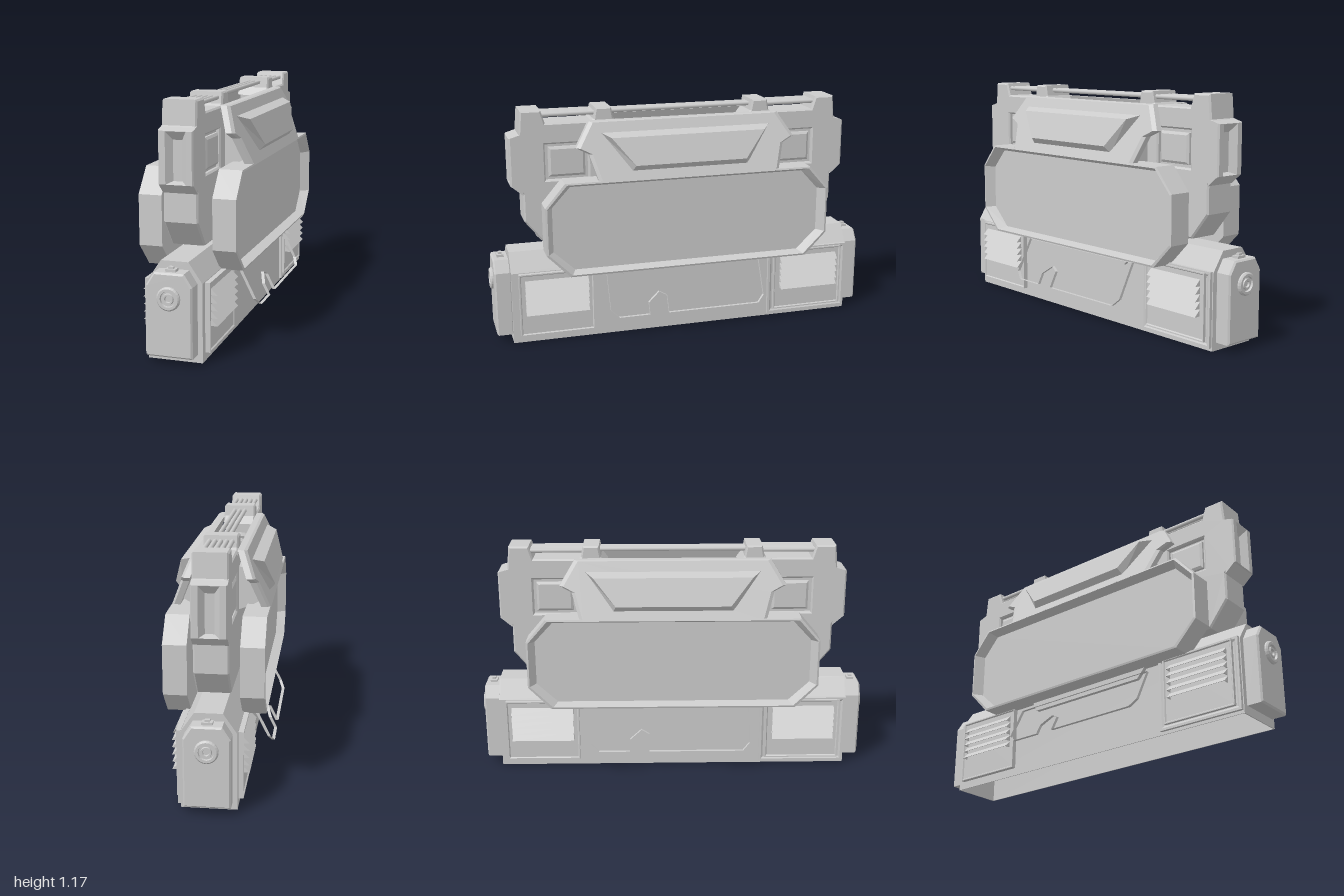
import * as THREE from 'three';

const flat = new THREE.MeshStandardMaterial({ color: 0xcccccc, flatShading: true });
const open = new THREE.MeshStandardMaterial({ color: 0xcccccc, flatShading: true, side: THREE.DoubleSide });
const smooth = new THREE.MeshStandardMaterial({ color: 0xcccccc });

function add(parent, name, geometry, material = flat) {
  const mesh = new THREE.Mesh(geometry, material);
  mesh.name = name;
  parent.add(mesh);
  return mesh;
}

const vectors = (pts) => pts.map(([a, b]) => new THREE.Vector2(a, b));

// Prism of a front profile [x, y], running from z0 to z1
function zPrism(pts, z0, z1, bevel = 0, holes = []) {
  const shape = new THREE.Shape(vectors(pts));
  shape.holes = holes.map((h) => new THREE.Path(vectors(h)));
  return new THREE.ExtrudeGeometry(shape, {
    depth: z1 - z0 - 2 * bevel, bevelEnabled: bevel > 0, bevelSize: bevel,
    bevelThickness: bevel, bevelOffset: -bevel, bevelSegments: 1,
  }).translate(0, 0, z0 + bevel);
}

// Prism of a side profile [z, y], running from x0 to x1
function xPrism(pts, x0, x1, bevel = 0, holes = []) {
  const flip = (list) => list.map(([z, y]) => [-z, y]);
  return zPrism(flip(pts), x0, x1, bevel, holes.map(flip)).rotateY(Math.PI / 2);
}

function box(x0, x1, y0, y1, z0, z1) {
  return new THREE.BoxGeometry(x1 - x0, y1 - y0, z1 - z0)
    .translate((x0 + x1) / 2, (y0 + y1) / 2, (z0 + z1) / 2);
}

// Skin through rings of [x, y, z], with or without end caps
function loft(rings, capped = true) {
  const n = rings[0].length, index = [], last = (rings.length - 1) * n;
  for (let r = 0; r < rings.length - 1; r++) {
    for (let i = 0; i < n; i++) {
      const a = r * n + i, b = r * n + (i + 1) % n;
      index.push(a, b, b + n, a, b + n, a + n);
    }
  }
  for (let i = 1; capped && i < n - 1; i++) {
    index.push(0, i + 1, i, last, last + i, last + i + 1);
  }
  const g = new THREE.BufferGeometry();
  g.setAttribute('position', new THREE.Float32BufferAttribute(rings.flat(2), 3));
  g.setIndex(index);
  const out = g.toNonIndexed();
  out.computeVertexNormals();
  return out;
}

// Eight-sided outline [z, y], with cut corners, counter-clockwise from +x
function octagon(hz, y0, y1, cz, cTop, cBottom) {
  return [[hz - cz, y1], [hz, y1 - cTop], [hz, y0 + cBottom], [hz - cz * 1.15, y0],
    [-hz + cz * 1.15, y0], [-hz, y0 + cBottom], [-hz, y1 - cTop], [-hz + cz, y1]];
}

const atX = (pts, x) => pts.map(([z, y]) => [x, y, z]);
const rect = (z0, z1, y0, y1) => [[z1, y1], [z1, y0], [z0, y0], [z0, y1]];

// Raised rectangular frame on a +x wall with a sunken middle
function framedPanel(z0, z1, y0, y1, x, rise, floor, rim) {
  const outer = rect(z0, z1, y0, y1), inner = rect(z0 + rim, z1 - rim, y0 + rim, y1 - rim);
  const sunk = rect(z0 + 1.8 * rim, z1 - 1.8 * rim, y0 + 1.8 * rim, y1 - 1.8 * rim);
  return loft([atX(outer, x), atX(outer, x + rise), atX(inner, x + rise), atX(sunk, x + floor)]);
}

function buildBase(root) {
  // Thin shell, open underneath
  const roof = [[0.13, 0], [0.13, 0.37], [0.065, 0.465], [-0.065, 0.465], [-0.13, 0.37], [-0.13, 0]];
  const inside = [[-0.126, 0], [-0.126, 0.369], [-0.063, 0.461], [0.063, 0.461], [0.126, 0.369], [0.126, 0]];
  add(root, 'baseShell', zPrism([...roof, ...inside], -0.9, 0.9));
  for (const z of [-0.905, 0.9]) add(root, 'baseEndWall', zPrism(roof, z, z + 0.005));
  add(root, 'neck', box(-0.04, 0.04, 0.462, 0.53, -0.6, 0.6));
}

function buildBody(root) {
  const half = [[0.38, 0.82], [0.38, 1.11], [0.7, 1.11], [0.72, 1.175], [0.82, 1.175],
    [0.83, 1.06], [0.845, 1.05], [0.845, 0.79], [0.82, 0.76], [0.82, 0.62], [0.72, 0.495]];
  const mirrored = half.map(([z, y]) => [-z, y]).reverse();
  const windows = [rect(0.49, 0.705, 0.825, 1.005), rect(-0.705, -0.49, 0.825, 1.005)];
  add(root, 'upperBody', xPrism([...half, ...mirrored], -0.082, 0.082, 0.008, windows));
  for (const z of [-0.5975, 0.5975]) {
    add(root, 'windowBacking', box(-0.06, 0.06, 0.815, 1.015, z - 0.118, z + 0.118));
  }

  // Drum with broad spiral ribs in the open middle
  add(root, 'drum', new THREE.CylinderGeometry(0.085, 0.085, 0.78, 24)
    .rotateX(Math.PI / 2).translate(0, 0.94, 0), smooth);
  for (let k = 0; k < 2; k++) {
    const pts = [];
    for (let i = 0; i <= 24; i++) {
      const a = i / 24 * Math.PI * 4 + k * Math.PI;
      pts.push(new THREE.Vector3(0.08 * Math.cos(a), 0.94 + 0.08 * Math.sin(a), -0.34 + i / 24 * 0.68));
    }
    add(root, 'drumRib', new THREE.TubeGeometry(new THREE.CatmullRomCurve3(pts), 72, 0.03, 6));
  }

  // Pipes along the top
  for (let i = -2; i <= 2; i++) {
    const spans = Math.abs(i) < 2 ? [[-0.73, 0.73]] : [[-0.73, -0.4], [0.4, 0.73]];
    for (const [a, b] of spans) {
      add(root, 'topPipe', new THREE.CylinderGeometry(0.011, 0.011, b - a, 10)
        .rotateX(Math.PI / 2).translate(i * 0.027, 1.148, (a + b) / 2), smooth);
    }
  }
}

// Everything on the +x side
function buildSide(g) {
  // Large sunken side plate
  const outer = octagon(0.738, 0.363, 0.84, 0.1, 0.118, 0.118);
  const lip = octagon(0.728, 0.372, 0.832, 0.1, 0.114, 0.114);
  const floor = octagon(0.698, 0.386, 0.812, 0.092, 0.1, 0.1);
  add(g, 'sidePlate', loft([atX(outer, 0.122), atX(outer, 0.235), atX(lip, 0.238), atX(floor, 0.19)]));

  // Sloping hood over the plate
  const hoodX = (y) => 0.125 + (1.115 - y) * 0.4;
  const hood = [[0.49, 1.115], [0.565, 0.995], [0.505, 0.965], [0.465, 0.83],
    [-0.465, 0.83], [-0.505, 0.965], [-0.565, 0.995], [-0.49, 1.115]];
  const onHood = (pts, d) => pts.map(([z, y]) => [hoodX(y) + d, y, z]);
  const hoodFace = hood.map(([z, y]) => [z * 0.965, 0.97 + (y - 0.97) * 0.97]);
  add(g, 'hood', loft([onHood(hood, -0.042), onHood(hood, -0.012), onHood(hoodFace, 0)]));
  const blister = [[0.445, 1.065], [0.3, 0.872], [-0.3, 0.872], [-0.445, 1.065]];
  add(g, 'hoodBlister', loft([onHood(blister, -0.01), [[0.2, 1.043, 0.395],
    [0.245, 0.908, 0.285], [0.245, 0.908, -0.285], [0.2, 1.043, -0.395]]]));
  add(g, 'hoodMount', zPrism([[0.08, 1.02], [0.08, 0.81], [0.15, 0.838], [0.19, 0.86], [0.13, 1.02]], -0.42, 0.42));

  // Bevelled blocks set into the body windows
  for (const z of [-0.5975, 0.5975]) {
    const base = rect(z - 0.092, z + 0.092, 0.84, 0.99), face = rect(z - 0.08, z + 0.08, 0.852, 0.978);
    add(g, 'windowBlock', loft([atX(base, 0.06), atX(base, 0.072), atX(face, 0.08)]));
  }

  // Louvred base panels, the rear one inside a wider frame
  add(g, 'rearPanelFrame', framedPanel(-0.9, -0.455, 0.015, 0.375, 0.128, 0.017, 0.011, 0.012));
  for (const s of [-1, 1]) {
    const panel = s > 0 ? [0.49, 0.87] : [-0.87, -0.485];
    add(g, 'ventPanel', framedPanel(...panel, 0.04, 0.367, 0.128, 0.026, 0.02, 0.006));
    for (let i = 0; i < 5; i++) {
      const y = 0.157 + i * 0.036, z0 = s * 0.68 - 0.16, z1 = s * 0.68 + 0.16;
      // Slanted slat with closed ends, open below
      add(g, 'louvre', zPrism([[0.145, y + 0.029], [0.176, y], [0.179, y], [0.145, y + 0.034]], z0, z1));
      for (const z of [z0, z1 - 0.004]) {
        add(g, 'louvreEnd', zPrism([[0.145, y], [0.176, y], [0.145, y + 0.03]], z, z + 0.004));
      }
    }
  }

  // Outward-leaning rim, open through its middle
  const rim = [[0.425, 0.335], [0.425, 0.165], [0.385, 0.13], [0.225, 0.13], [0.225, 0.185],
    [0.165, 0.23], [0.125, 0.21], [0.125, 0.13], [-0.36, 0.13], [-0.395, 0.165], [-0.395, 0.335]];
  const lean = (d) => rim.map(([z, y]) => [0.142 + d + (0.335 - y) * 0.5, y, z]);
  add(g, 'leaningRim', loft([lean(0), lean(0.016)], false), open);
  add(g, 'rimMount', xPrism([[0.36, 0.37], [0.33, 0.315], [-0.33, 0.315], [-0.38, 0.37]], 0.128, 0.15));
}

// Everything at the +z end
function buildEnd(g) {
  // Sunken window frame on the body end
  const ring = (hx, y0, y1, z) => [[-hx, y1, z], [-hx, y0, z], [hx, y0, z], [hx, y1, z]];
  add(g, 'endWindow', loft([ring(0.082, 0.755, 1.06, 0.82), ring(0.082, 0.8, 1.045, 0.872),
    ring(0.076, 0.803, 1.042, 0.88), ring(0.048, 0.803, 1.04, 0.88), ring(0.022, 0.815, 1.0, 0.848)]));

  // Bracket holding the pipes
  add(g, 'pipeBracket', xPrism([[0.37, 1.175], [0.36, 1.12], [0.33, 1.08], [0.5, 1.08],
    [0.46, 1.12], [0.45, 1.175]], -0.083, 0.083, 0.008));

  // Base end cap with its nozzle and latch
  const cap = [[0.108, 0.04], [0.108, 0.37], [0.07, 0.43], [-0.07, 0.43], [-0.108, 0.37], [-0.108, 0.04]];
  add(g, 'endCap', zPrism(cap, 0.9, 0.985, 0.008));
  add(g, 'latch', box(-0.025, 0.025, 0.42, 0.442, 0.925, 0.96));
  add(g, 'latchKnob', box(-0.012, 0.012, 0.44, 0.452, 0.935, 0.952));
  const nozzle = [[0.055, 0], [0.055, 0.01], [0.048, 0.017], [0.036, 0.017], [0.034, 0.006],
    [0.026, 0.006], [0.024, 0.014], [0.016, 0.014], [0.014, 0.004], [0, 0.004]];
  add(g, 'nozzle', new THREE.LatheGeometry(vectors(nozzle), 24)
    .rotateX(Math.PI / 2).translate(0, 0.315, 0.983), open);
}

export function createModel() {
  const root = new THREE.Group();
  root.name = 'machine';
  buildBase(root);
  buildBody(root);

  // The model repeats when turned half a circle
  const half = new THREE.Group();
  half.name = 'sideAndEnd';
  buildSide(half);
  buildEnd(half);
  const other = half.clone();
  other.name = 'oppositeSideAndEnd';
  other.rotation.y = Math.PI;
  root.add(half, other);
  return root;
}
